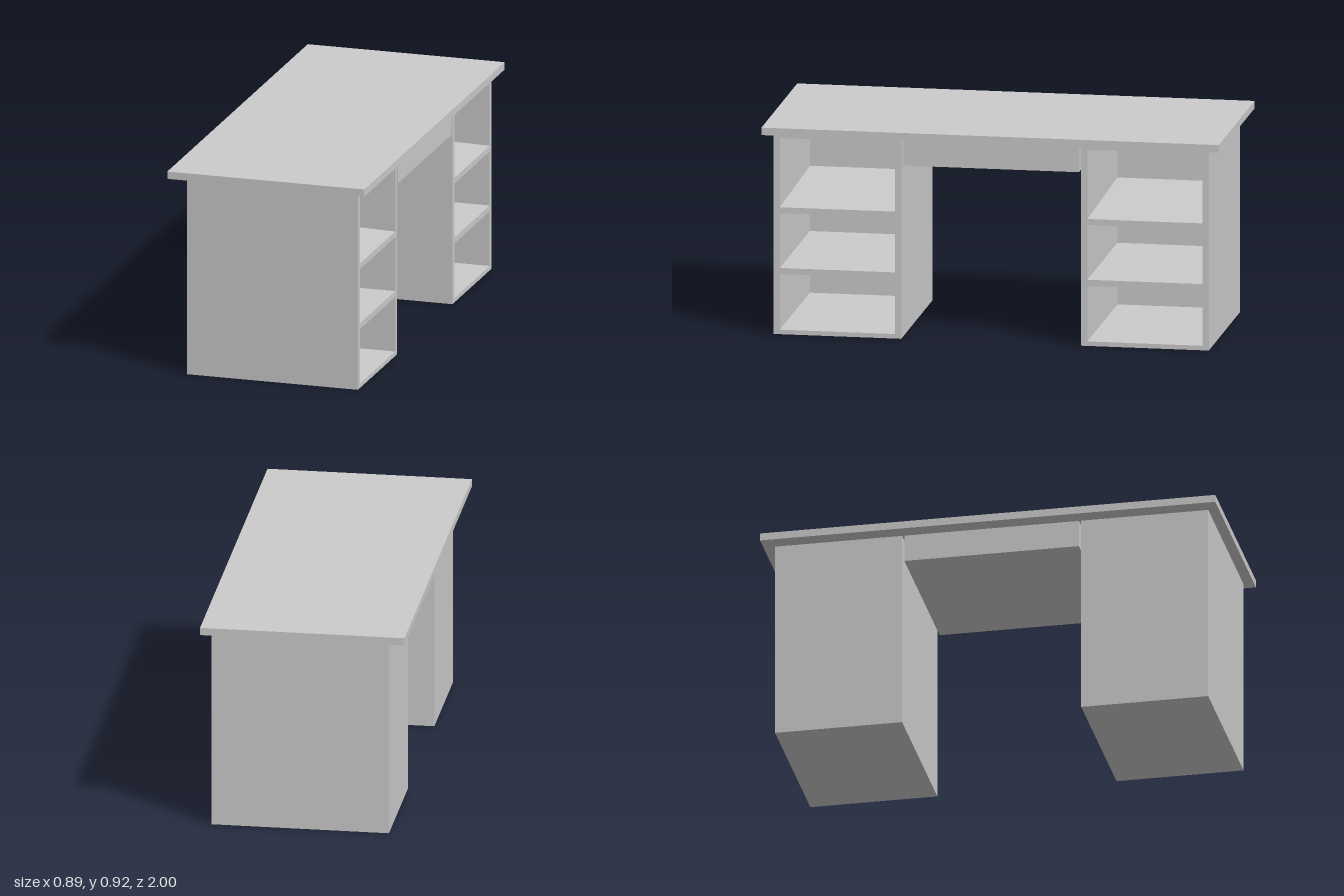
import * as THREE from 'three';

const material = new THREE.MeshStandardMaterial({ color: 0xcccccc });

// Box given by its min and max on each axis
function board(name, [x0, x1], [y0, y1], [z0, z1]) {
  const geometry = new THREE.BoxGeometry(x1 - x0, y1 - y0, z1 - z0);
  geometry.translate((x0 + x1) / 2, (y0 + y1) / 2, (z0 + z1) / 2);
  const mesh = new THREE.Mesh(geometry, material);
  mesh.name = name;
  return mesh;
}

const BACK = -0.37, FRONT = 0.402; // cabinet depth along x
const HEIGHT = 0.885;              // underside of the desk top
const HALF = 0.279, WALL = 0.027;  // cabinet half width and side thickness

// Open compartments: floor height at the front, at the back, and ceiling
const compartments = [
  [0.02, 0.02, 0.265],
  [0.292, 0.292, 0.534],
  [0.56, 0.58, 0.866],
];

function createCabinet(name) {
  const cabinet = new THREE.Group();
  cabinet.name = name;

  // Side panels
  for (const s of [-1, 1]) {
    const z = [s * HALF, s * (HALF - WALL)].sort((a, b) => a - b);
    cabinet.add(board('sidePanel', [BACK, FRONT], [0, HEIGHT], z));
  }

  // Back, floor, shelves and ceiling as one comb-shaped section
  const inner = BACK + WALL;
  const section = new THREE.Shape();
  section.moveTo(BACK, 0);
  section.lineTo(FRONT, 0);
  for (const [front, back, ceiling] of compartments) {
    section.lineTo(FRONT, front);
    section.lineTo(inner, back);
    section.lineTo(inner, ceiling);
    section.lineTo(FRONT, ceiling);
  }
  section.lineTo(FRONT, HEIGHT);
  section.lineTo(BACK, HEIGHT);
  section.closePath();
  const depth = 2 * (HALF - WALL);
  const geometry = new THREE.ExtrudeGeometry(section, { depth, bevelEnabled: false });
  geometry.translate(0, 0, -depth / 2);
  const shelves = new THREE.Mesh(geometry, material);
  shelves.name = 'shelves';
  cabinet.add(shelves);
  return cabinet;
}

export function createModel() {
  const desk = new THREE.Group();
  desk.name = 'desk';

  desk.add(board('deskTop', [-0.445, 0.445], [HEIGHT, 0.918], [-1, 1]));

  const frontCabinet = createCabinet('frontCabinet');
  frontCabinet.position.z = 0.675;
  const rearCabinet = createCabinet('rearCabinet');
  rearCabinet.position.z = -0.67;
  desk.add(frontCabinet, rearCabinet);

  // Drawer box over the knee space
  desk.add(board('centreDrawer', [BACK, FRONT], [0.765, HEIGHT], [-0.381, 0.386]));
  return desk;
}
